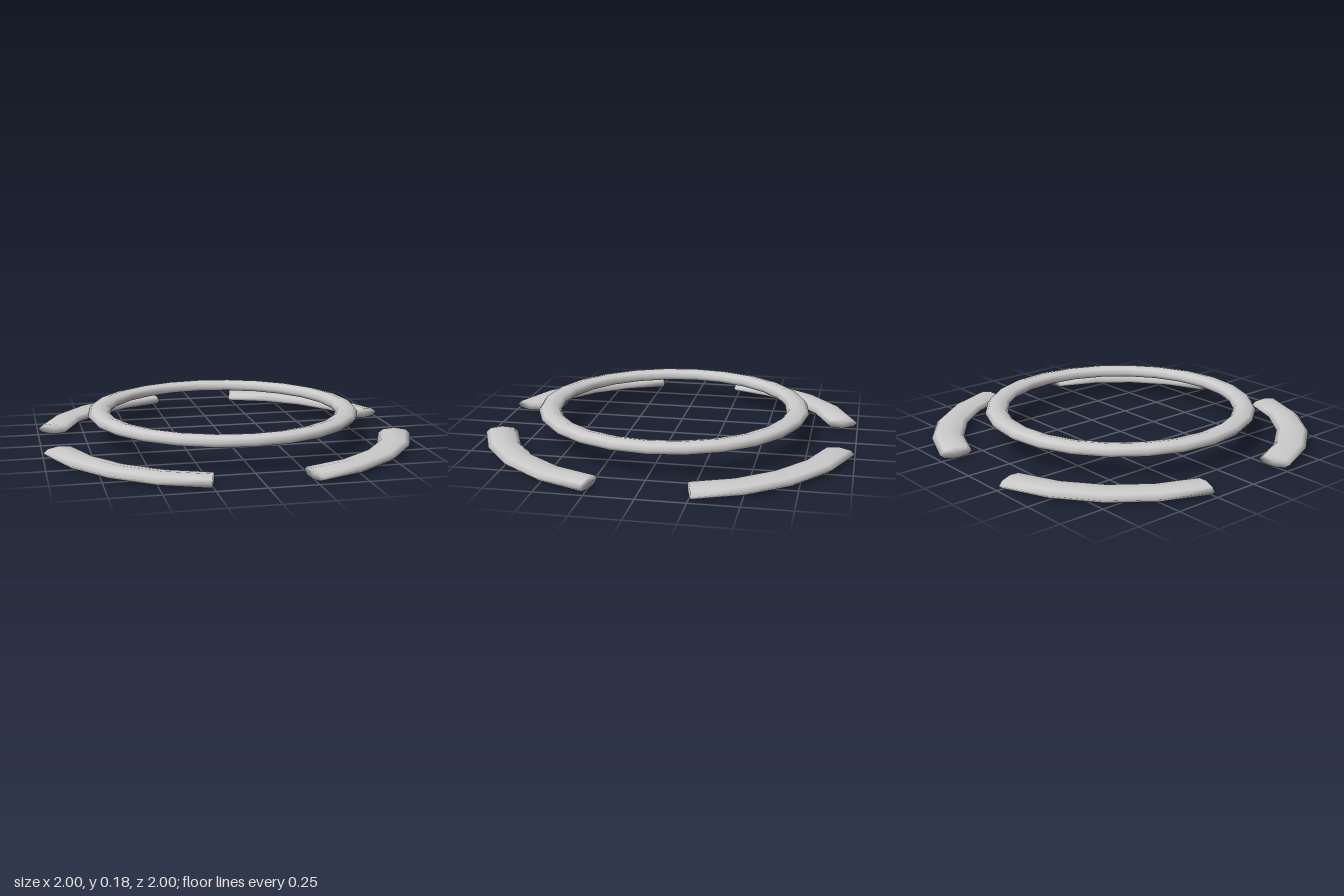
import * as THREE from 'three';
import { mergeGeometries, mergeVertices } from 'three/addons/utils/BufferGeometryUtils.js';

const SIDES = 8;
const STEP = Math.PI / 12;

// Lay a geometry from the xy plane flat on the ground plane and squash its tube height
function layFlat(geometry, squash) {
  return geometry.scale(1, 1, squash).rotateX(-Math.PI / 2);
}

// Curved bar with flat ends whose shading blends smoothly into the sides
function arcGeometry(radius, halfWidth, halfHeight, segments) {
  const arc = segments * STEP;
  const parts = [
    new THREE.TorusGeometry(radius, halfWidth, SIDES, segments, arc),
    new THREE.CircleGeometry(halfWidth, SIDES).rotateX(Math.PI / 2).translate(radius, 0, 0),
    new THREE.CircleGeometry(halfWidth, SIDES).rotateX(-Math.PI / 2).translate(radius, 0, 0).rotateZ(arc),
  ];
  for (const part of parts) {
    part.deleteAttribute('uv');
    part.deleteAttribute('normal');
  }
  const geometry = layFlat(mergeVertices(mergeGeometries(parts), 1e-4), halfHeight / halfWidth);
  geometry.computeVertexNormals();
  return geometry;
}

export function createModel() {
  const group = new THREE.Group();
  const material = new THREE.MeshStandardMaterial({ color: 0xcccccc });

  // Raised inner ring
  const ring = new THREE.Mesh(layFlat(new THREE.TorusGeometry(0.681, 0.062, SIDES, 24), 0.033 / 0.062), material);
  ring.name = 'innerRing';
  ring.position.y = 0.15;
  group.add(ring);

  // Four outer arcs, one per quadrant
  const arc = arcGeometry(0.948, 0.087, 0.03, 4);
  for (let i = 0; i < 4; i++) {
    const mesh = new THREE.Mesh(arc, material);
    mesh.name = `outerArc${i + 1}`;
    mesh.position.y = 0.03;
    mesh.rotation.y = STEP + i * Math.PI / 2;
    group.add(mesh);
  }
  return group;
}
